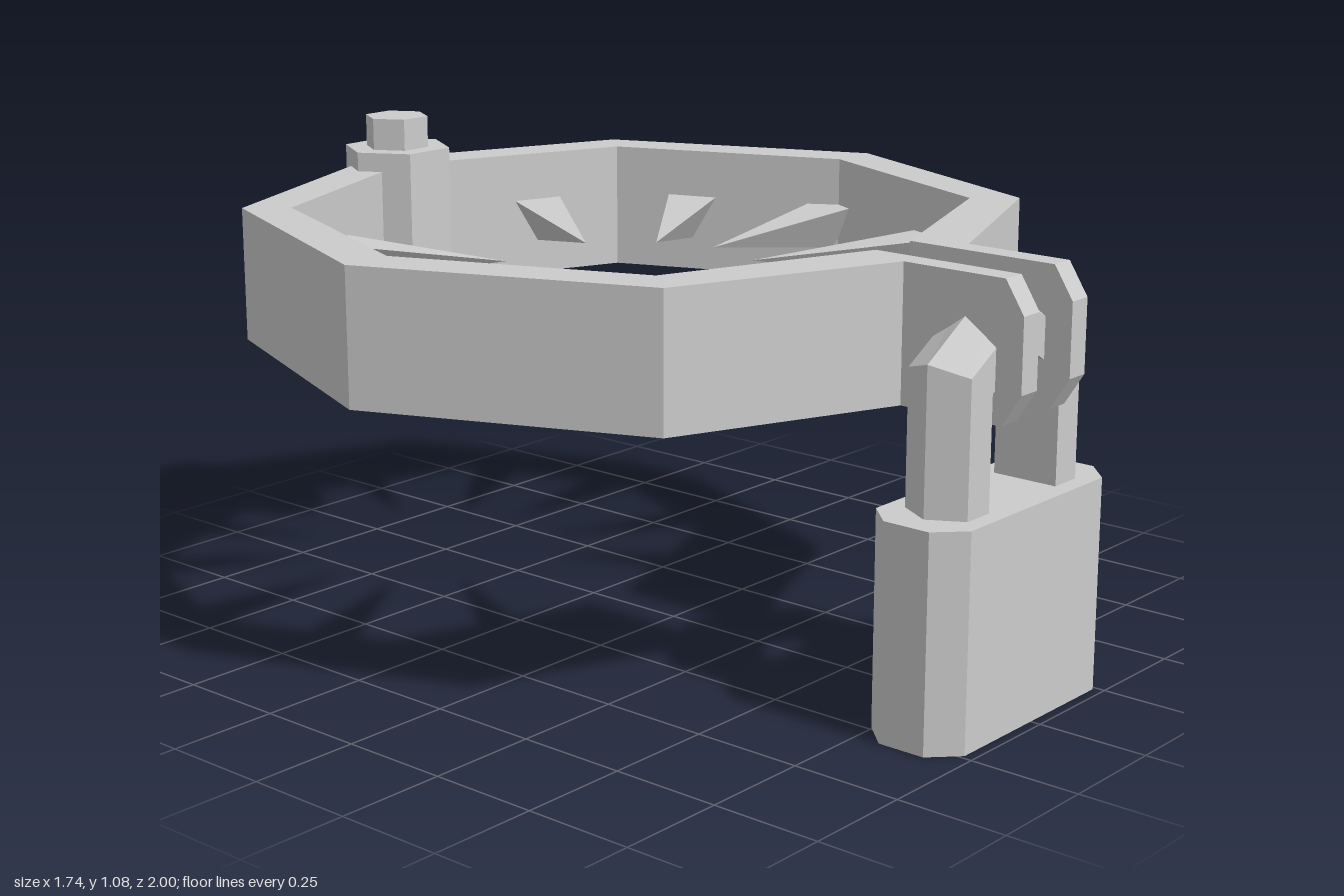
import * as THREE from 'three';

const material = new THREE.MeshStandardMaterial({ color: 0xcccccc, flatShading: true });

function part(name, geometry) {
  const mesh = new THREE.Mesh(geometry, material);
  mesh.name = name;
  return mesh;
}

const shapeOf = (pts) => new THREE.Shape(pts.map(([a, b]) => new THREE.Vector2(a, b)));

// Extrude a floor plan of [x, z] points between two heights
function plan(pts, bottom, top) {
  const g = new THREE.ExtrudeGeometry(shapeOf(pts), { depth: top - bottom, bevelEnabled: false });
  return g.rotateX(Math.PI / 2).translate(0, top, 0);
}

function hexPrism(radius, bottom, top) {
  return new THREE.CylinderGeometry(radius, radius, top - bottom, 6)
    .rotateY(Math.PI / 6).translate(0, (top + bottom) / 2, -0.885);
}

// Bent bar with a five-sided section: outer ridge, two edges, flat inner side
function shackleGeometry() {
  const x = [0.24, 0.197, 0.122, 0.122, 0.197];
  const z = [0.862, 0.938, 0.938, 0.786, 0.786];
  const foot = [0.4, 0.4, 0.4, 0.4, 0.4];
  const shoulder = [0.79, 0.765, 0.72, 0.72, 0.765];
  const peak = [0.935, 0.88, 0.79, 0.79, 0.88];
  const stations = [[1, foot], [1, shoulder], [0, peak], [-1, shoulder], [-1, foot]];
  const point = (k, i) => [stations[k][0] * x[i], stations[k][1][i], z[i]];
  const pos = [];
  for (let k = 0; k < 4; k++) {
    for (let i = 0; i < 5; i++) {
      const j = (i + 1) % 5;
      const a = point(k, i), b = point(k, j), c = point(k + 1, j), d = point(k + 1, i);
      pos.push(...a, ...c, ...b, ...a, ...d, ...c);
    }
  }
  const g = new THREE.BufferGeometry();
  g.setAttribute('position', new THREE.Float32BufferAttribute(pos, 3));
  g.computeVertexNormals();
  return g;
}

export function createModel() {
  const model = new THREE.Group();
  model.name = 'spikedCollar';

  // Two mirrored collar halves, each with a chamfered hasp tab
  const half = [
    [0, -0.99], [0.615, -0.735], [0.872, -0.115], [0.615, 0.505], [0.115, 0.71],
    [0.06, 0.71], [0.06, 0.6], [0.54, 0.42], [0.757, -0.115], [0.54, -0.655], [0, -0.875],
  ];
  const tab = [[0.71, 0.655], [0.955, 0.655], [1, 0.725], [1, 0.885], [0.955, 0.955], [0.71, 0.955]];
  for (const [side, s] of [['left', 1], ['right', -1]]) {
    model.add(part(side + 'CollarHalf', plan(half.map(([x, z]) => [s * x, z]), 0.655, 0.955)));
    const g = new THREE.ExtrudeGeometry(shapeOf(tab), { depth: 0.055, bevelEnabled: false });
    g.rotateY(-Math.PI / 2).translate(s > 0 ? 0.115 : -0.06, 0, 0);
    model.add(part(side + 'HaspTab', g));
  }

  // Hinge barrel and its pin
  model.add(part('hingeBarrel', hexPrism(0.13, 0.585, 1)));
  model.add(part('hingePin', hexPrism(0.077, 0.51, 1.075)));

  // Inward spikes, ridge downwards: [tip x, tip z, root x, root z]
  const spikes = new THREE.Group();
  spikes.name = 'spikes';
  const list = [
    [0.29, -0.13, 0.74, -0.13], [0.25, -0.27, 0.61, -0.465], [0.135, -0.39, 0.335, -0.74],
    [0.24, 0.03, 0.6, 0.26], [0.13, 0.125, 0.335, 0.5],
    [-0.295, -0.13, -0.74, -0.13], [-0.245, -0.29, -0.585, -0.52], [-0.135, -0.39, -0.335, -0.74],
    [-0.255, 0.01, -0.63, 0.205], [-0.14, 0.125, -0.335, 0.5],
  ];
  for (const [tx, tz, rx, rz] of list) {
    const tip = new THREE.Vector3(tx, 0.805, tz);
    const root = new THREE.Vector3(rx, 0.805, rz);
    root.addScaledVector(root.clone().sub(tip).normalize(), 0.035); // bury the root in the band
    const g = new THREE.ConeGeometry(0.076, root.distanceTo(tip), 3).rotateX(Math.PI / 2);
    const spike = part('spike', g);
    spike.position.copy(tip).add(root).multiplyScalar(0.5);
    spike.lookAt(tip);
    spikes.add(spike);
  }
  model.add(spikes);

  // Padlock
  const padlock = new THREE.Group();
  padlock.name = 'padlock';
  const body = [
    [0.24, 0.745], [0.3, 0.808], [0.3, 0.918], [0.24, 0.977],
    [-0.24, 0.977], [-0.3, 0.918], [-0.3, 0.808], [-0.24, 0.745],
  ];
  padlock.add(part('lockBody', plan(body, 0, 0.473)));
  padlock.add(part('shackle', shackleGeometry()));
  model.add(padlock);

  return model;
}
